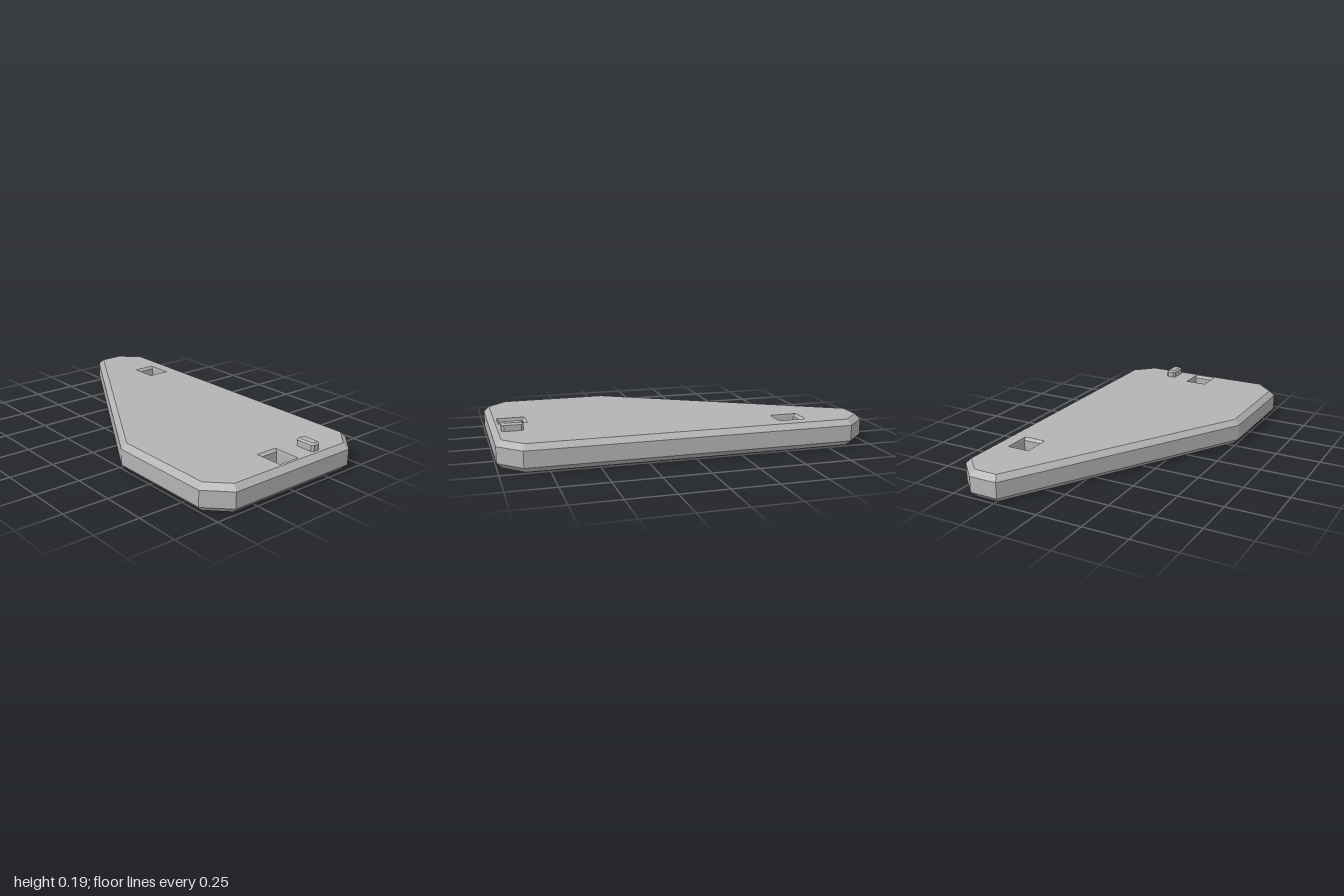
import * as THREE from 'three';

const HEIGHT = 0.145, BEVEL = 0.029;

// Plate outline as [x, z], counter-clockwise seen from above
const OUTLINE = [
  [0.51, 0.88], [0.51, -0.88], [0.39, -1], [0.23, -1],
  [-0.51, 0.28], [-0.51, 0.88], [-0.39, 1], [0.39, 1],
];

const rect = (x, z, w, d) => [
  [x + w / 2, z + d / 2], [x + w / 2, z - d / 2],
  [x - w / 2, z - d / 2], [x - w / 2, z + d / 2],
];

// Moves every edge of a convex outline inward by the same distance
function inset(points, dist) {
  const n = points.length;
  const direction = (a, b) => {
    const l = Math.hypot(b[0] - a[0], b[1] - a[1]);
    return [(b[0] - a[0]) / l, (b[1] - a[1]) / l];
  };
  return points.map((p, i) => {
    const u = direction(points[(i + n - 1) % n], p);
    const v = direction(p, points[(i + 1) % n]);
    const k = dist / (u[0] * v[1] - u[1] * v[0]);
    return [p[0] + (u[0] - v[0]) * k, p[1] + (u[1] - v[1]) * k];
  });
}

// Flat walls through a list of { y, points } rings; faces outward when rising
function loft(rings) {
  const pos = [];
  for (let r = 0; r + 1 < rings.length; r++) {
    const a = rings[r], b = rings[r + 1], n = a.points.length;
    for (let i = 0; i < n; i++) {
      const j = (i + 1) % n;
      const at = (ring, k) => [ring.points[k][0], ring.y, ring.points[k][1]];
      pos.push(...at(a, i), ...at(a, j), ...at(b, j), ...at(a, i), ...at(b, j), ...at(b, i));
    }
  }
  const g = new THREE.BufferGeometry();
  g.setAttribute('position', new THREE.Float32BufferAttribute(pos, 3));
  g.computeVertexNormals();
  return g;
}

// Horizontal face with optional openings, facing up or down
function cap(points, y, up, holes = []) {
  const s = up ? -1 : 1;
  const flat = (pts) => pts.map(([x, z]) => new THREE.Vector2(x, s * z));
  const shape = new THREE.Shape(flat(points));
  holes.forEach((h) => shape.holes.push(new THREE.Path(flat(h))));
  return new THREE.ShapeGeometry(shape).rotateX(s * Math.PI / 2).translate(0, y, 0);
}

export function createModel() {
  const model = new THREE.Group();
  model.name = 'wedgePlate';
  const grey = new THREE.MeshStandardMaterial({ color: 0xb4b4b4 });
  grey.name = 'plain grey';

  const add = (parent, name, geometry) => {
    const mesh = new THREE.Mesh(geometry, grey);
    mesh.name = name;
    parent.add(mesh);
  };

  // Socket centres [x, z] in the upper and lower faces
  const W = 0.125, D = 0.153, LIP = 0.014;
  const topSockets = [[0.347, -0.578], [-0.003, 0.88]];
  const bottomSockets = [[0.28, -0.165], [0.32, 0.655], [-0.255, 0.55]];
  const mouth = ([x, z]) => rect(x, z, W, D);

  // Bevelled plate
  const inner = inset(OUTLINE, BEVEL);
  add(model, 'plateEdge', loft([
    { y: 0, points: inner },
    { y: BEVEL, points: OUTLINE },
    { y: HEIGHT - BEVEL, points: OUTLINE },
    { y: HEIGHT, points: inner },
  ]));
  add(model, 'plateTop', cap(inner, HEIGHT, true, topSockets.map(mouth)));
  add(model, 'plateBottom', cap(inner, 0, false, bottomSockets.map(mouth)));

  // Square sockets with sloped front and back lips
  function addSocket(centre, up, depth) {
    const group = new THREE.Group();
    group.name = up ? 'topSocket' : 'bottomSocket';
    const y = up ? HEIGHT : 0, s = up ? -1 : 1;
    const bore = rect(centre[0], centre[1], W - 0.004, D - 2 * LIP);
    const rings = [
      { y, points: mouth(centre) },
      { y: y + s * LIP, points: bore },
      { y: y + s * depth, points: bore },
    ];
    add(group, 'socketWalls', loft(up ? rings : rings.reverse()));
    add(group, 'socketFloor', cap(bore, y + s * depth, up));
    model.add(group);
  }
  topSockets.forEach((c) => addSocket(c, true, 0.075));
  bottomSockets.forEach((c) => addSocket(c, false, 0.1));

  // Small locating peg with bevelled corners and top
  const peg = new THREE.Group();
  peg.name = 'peg';
  const c = 0.012, px = 0.195, pz = 0.897, hw = 0.029, hd = 0.057;
  const pegOutline = [
    [hw, hd - c], [hw, c - hd], [hw - c, -hd], [c - hw, -hd],
    [-hw, c - hd], [-hw, hd - c], [c - hw, hd], [hw - c, hd],
  ].map(([x, z]) => [px + x, pz + z]);
  const pegTop = inset(pegOutline, 0.01);
  add(peg, 'pegSides', loft([
    { y: HEIGHT, points: pegOutline },
    { y: 0.177, points: pegOutline },
    { y: 0.187, points: pegTop },
  ]));
  add(peg, 'pegTop', cap(pegTop, 0.187, true));
  model.add(peg);

  return model;
}
